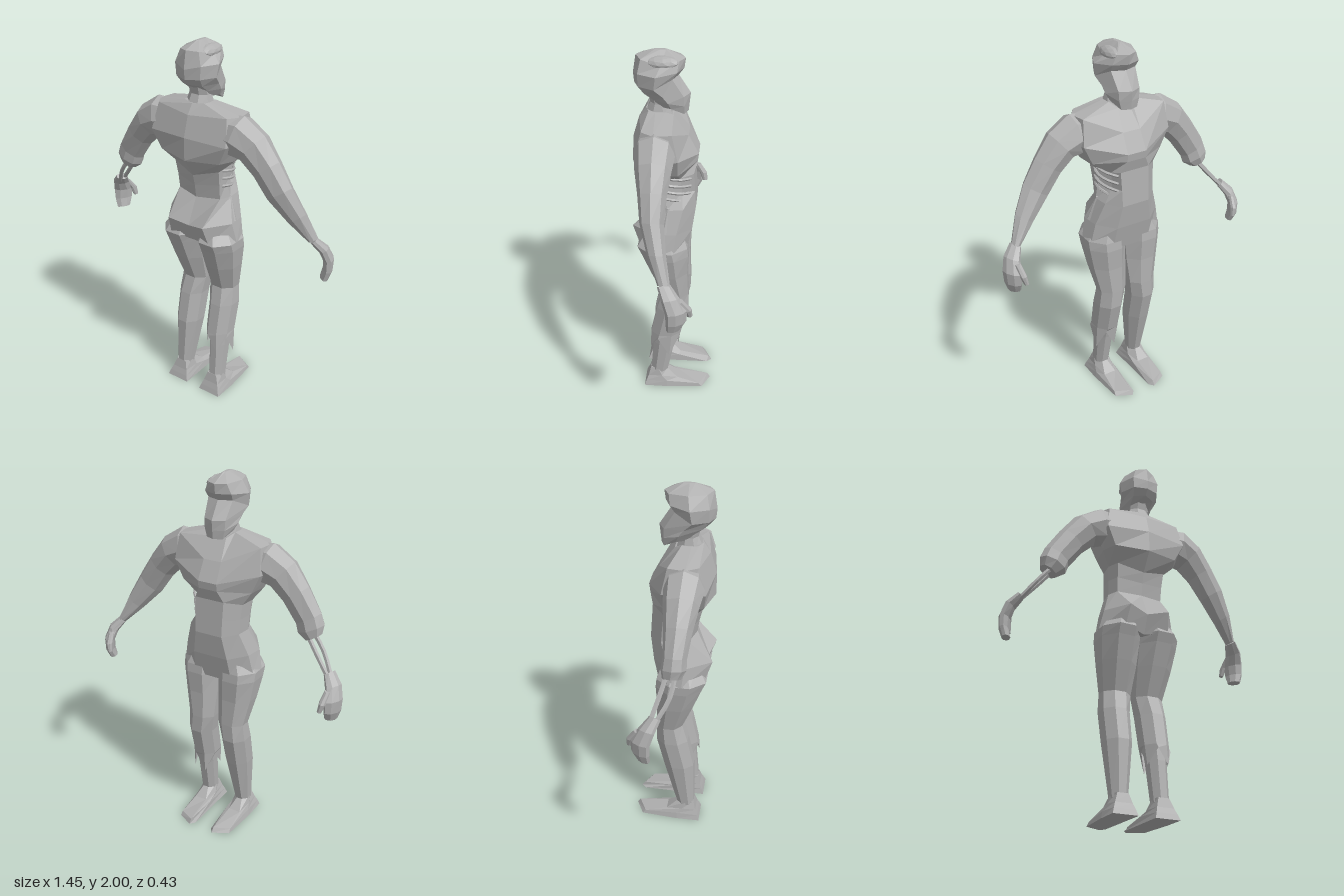
import * as THREE from 'three';

const skin = new THREE.MeshStandardMaterial({ color: 0xb0b0b0, side: THREE.DoubleSide });
skin.name = 'plain grey';

// Faceted mesh: unshared corners give every face its own normal
function facet(name, geo) {
  const g = geo.index ? geo.toNonIndexed() : geo;
  g.computeVertexNormals();
  const m = new THREE.Mesh(g, skin);
  m.name = name;
  return m;
}

// Skin over a list of rings (start to end); side = -1 mirrors it in x
function loft(name, rings, side = 1, capped = true) {
  if (side < 0) rings = rings.map(r => r.map(p => [-p[0], p[1], p[2]]).reverse());
  const pos = [], n = rings[0].length;
  const tri = (a, b, c) => pos.push(...a, ...b, ...c);
  const mid = r => [0, 1, 2].map(k => r.reduce((s, p) => s + p[k], 0) / n);
  const first = rings[0], last = rings[rings.length - 1];
  const c0 = mid(first), c1 = mid(last);
  for (let j = 0; j < n; j++) {
    const k = (j + 1) % n;
    for (let i = 0; i + 1 < rings.length; i++) {
      const a = rings[i], b = rings[i + 1];
      tri(a[j], b[j], a[k]);
      tri(a[k], b[j], b[k]);
    }
    if (capped) {
      tri(c0, first[j], first[k]);
      tri(c1, last[k], last[j]);
    }
  }
  const g = new THREE.BufferGeometry();
  g.setAttribute('position', new THREE.Float32BufferAttribute(pos, 3));
  return facet(name, g);
}

// Full ring from half of it, running from +z round the side to -z
const sym = half => [...half, ...half.slice(1, -1).reverse().map(p => [-p[0], p[1], p[2]])];

// Head ring: heights at back, side and front, half width, depth limits
function headRing([yb, ys, yf, w, zb, zf]) {
  const d = zb - zf;
  return sym([[0, yb, zb], [.65 * w, ys, zb - .12 * d], [w, ys, zf + .52 * d],
    [.63 * w, yf, zf + .12 * d], [0, yf, zf]]);
}

// Torso ring: the same, plus width shares of the front and back corners and a back bulge
function torsoRing([yb, ys, yf, w, zb, zf, front = .5, back = .84, bulge = 0]) {
  const d = zb - zf;
  return sym([[0, yb, zb], [back * w, ys, zb - .13 * d + bulge], [w, ys, zf + .62 * d],
    [.94 * w, ys, zf + .27 * d], [front * w, yf, zf], [0, yf, zf]]);
}

// Eight-sided level ring for neck and legs
function legRing([y, xi, xo, zb, zf], jag = 0) {
  return Array.from({ length: 8 }, (_, k) => {
    const t = (k + 0.5) * Math.PI / 4, f = 1.08;
    return [(xi + xo) / 2 + Math.sin(t) * f * (xo - xi) / 2,
      y + (k % 2 ? jag : -jag * (0.4 + (k % 3) * 0.3)),
      (zb + zf) / 2 + Math.cos(t) * f * (zb - zf) / 2];
  });
}

// Eight-sided rings across a path of [x, y, z, thickness, depth]; skew turns them towards the body
function limbRings(path, skew = 0) {
  return path.map(([x, y, z, rn, rz], i) => {
    const a = path[Math.max(i - 1, 0)], b = path[Math.min(i + 1, path.length - 1)];
    const dx = b[0] - a[0], dy = b[1] - a[1], l = Math.hypot(dx, dy);
    return Array.from({ length: 8 }, (_, k) => {
      const t = k * Math.PI / 4, s = Math.sin(t) * rn, c = Math.cos(t) * rz;
      return [x - dy / l * s + skew * c, y + dx / l * s, z + c];
    });
  });
}

function tube(name, pts, r) {
  const c = new THREE.CatmullRomCurve3(pts.map(p => new THREE.Vector3(...p)));
  return facet(name, new THREE.TubeGeometry(c, 6, r, 5, false));
}

export function createModel() {
  const g = new THREE.Group();
  g.name = 'figure';

  // Head from crown to chin, face towards -z
  const head = [
    [2, 2, 2, .01, .1, .03],
    [1.97, 1.965, 1.96, .085, .185, -.055],
    [1.88, 1.9, 1.91, .118, .2, -.048],
    [1.83, 1.835, 1.875, .11, .195, -.022],
    [1.8, 1.795, 1.785, .095, .17, -.08],
    [1.77, 1.76, 1.735, .09, .115, -.075],
    [1.75, 1.725, 1.69, .072, .085, -.07],
  ].map(headRing);
  head[1][2] = [.075, 1.94, .06]; // broken skull on the left side
  g.add(loft('head', head));
  const brain = facet('exposedBrain', new THREE.IcosahedronGeometry(1, 1));
  brain.scale.set(.035, .024, .08);
  brain.position.set(.05, 1.953, .05);
  brain.rotation.z = -.6;
  g.add(brain);

  // Neck
  g.add(loft('neck', [[1.8, -.055, .055, .13, .03], [1.74, -.055, .055, .115, .03],
    [1.66, -.075, .075, .15, 0]].map(r => legRing(r))));

  // Torso from collar to hips
  const torso = [
    [1.7, 1.705, 1.68, .07, .14, 0],
    [1.65, 1.665, 1.58, .25, .175, -.075, .2],
    [1.54, 1.53, 1.48, .265, .207, -.127, .2, .87, .015],
    [1.42, 1.43, 1.44, .215, .207, -.122, .25],
    [1.32, 1.36, 1.38, .165, .14, -.105],
    [1.26, 1.28, 1.28, .158, .125, -.112],
    [1.19, 1.2, 1.19, .155, .115, -.118],
    [1.05, 1.075, 1.06, .2, .18, -.1, .5, .55, .065],
    [.95, .97, .92, .222, .14, -.07, .5, .55, .06],
  ].map(torsoRing);
  for (const i of [4, 5]) { // open wound on the left side
    torso[i][2][0] = .135;
    torso[i][3][0] = .1;
  }
  g.add(loft('torso', torso));

  // Ribs bridging the wound, and the torn flap under it
  for (let i = 0; i < 4; i++) {
    const y = 1.38 - i * .042, x = .15 - i * .004;
    g.add(tube('rib', [[.13, y + .015, .07], [x, y + .005, .025], [x - .02, y - .012, -.04], [.085, y - .025, -.09]], .008));
  }
  g.add(loft('tornFlap', [
    [[.148, 1.215, .03], [.155, 1.21, .02], [.148, 1.21, .01]],
    [[.17, 1.08, .09], [.2, 1.08, .04], [.17, 1.07, -.03]],
  ]));

  // Legs: hip, thigh, knee, calf, ankle; the left trouser is torn
  const leg = [[1.06, .03, .16, .13, -.05], [.97, 0, .22, .182, -.08], [.92, 0, .218, .16, -.085],
    [.8, .004, .2, .115, -.08], [.65, .015, .17, .055, -.085], [.55, .03, .178, .085, -.085],
    [.38, .035, .175, .12, -.045]];
  const ankle = [.09, .07, .155, .125, .03];
  g.add(loft('rightLeg', [...leg, ankle].map(r => legRing(r)), -1));
  g.add(loft('tornTrouserLeg', [...leg.map(r => legRing(r)), legRing([.3, .045, .178, .125, -.03], .06)], 1, false));
  g.add(loft('leftShin', [[.45, .05, .16, .09, -.05], [.3, .06, .158, .108, -.01], ankle].map(r => legRing(r))));

  // Foot rings: ankle, instep, upper, sole
  const foot = [
    [[.08, .11, .125], [.14, .11, .125], [.155, .11, .08], [.13, .1, .03], [.1, .1, .03], [.07, .11, .08]],
    [[.065, .06, .138], [.158, .06, .138], [.163, .065, .06], [.15, .05, -.03], [.08, .05, -.03], [.06, .06, .05]],
    [[.055, .03, .15], [.17, .03, .15], [.172, .035, .03], [.16, .02, -.155], [.075, .025, -.2], [.055, .04, -.02]],
    [[.045, 0, .16], [.18, 0, .16], [.18, 0, .03], [.163, 0, -.172], [.075, 0, -.217], [.052, 0, -.19]],
  ];

  // Arms as paths of [x, y, z, thickness, depth]
  const upper = [[.1, 1.58, .08, .075, .075], [.24, 1.565, .075, .112, .1], [.325, 1.525, .073, .093, .088],
    [.4, 1.437, .07, .082, .07]];
  const elbow = [.475, 1.325, .065, .078, .058];
  const hand = [[.635, 1.09, -.005, .022, .03], [.675, 1.04, -.04, .03, .042], [.69, .98, -.068, .032, .05],
    [.69, .92, -.068, .028, .048], [.68, .87, -.055, .024, .034]];
  const thumb = [[.665, 1.03, -.08, .016, .02], [.655, .975, -.118, .018, .022], [.645, .93, -.128, .012, .014]];
  g.add(loft('leftArm', limbRings([...upper, elbow, [.56, 1.205, .035, .055, .045], hand[0]])));
  g.add(loft('rightUpperArm', limbRings([...upper, elbow, [.493, 1.275, .062, .078, .062],
    [.515, 1.235, .055, .05, .045]]), -1));

  // Bare forearm bones on the right arm
  for (const d of [-1, 1]) {
    g.add(tube('forearmBone', [[-.48, 1.27 + d * .01, .055 + d * .02], [-.565 - d * .008, 1.165, .03 + d * .025],
      [-.65, 1.06, -.02 + d * .012]], .012));
  }

  // Mirrored extremities
  for (const s of [1, -1]) {
    const side = s > 0 ? 'left' : 'right';
    g.add(loft(side + 'Foot', foot, s));
    g.add(loft(side + 'Hand', limbRings(hand, .4), s));
    g.add(loft(side + 'Thumb', limbRings(thumb), s));
  }
  return g;
}
